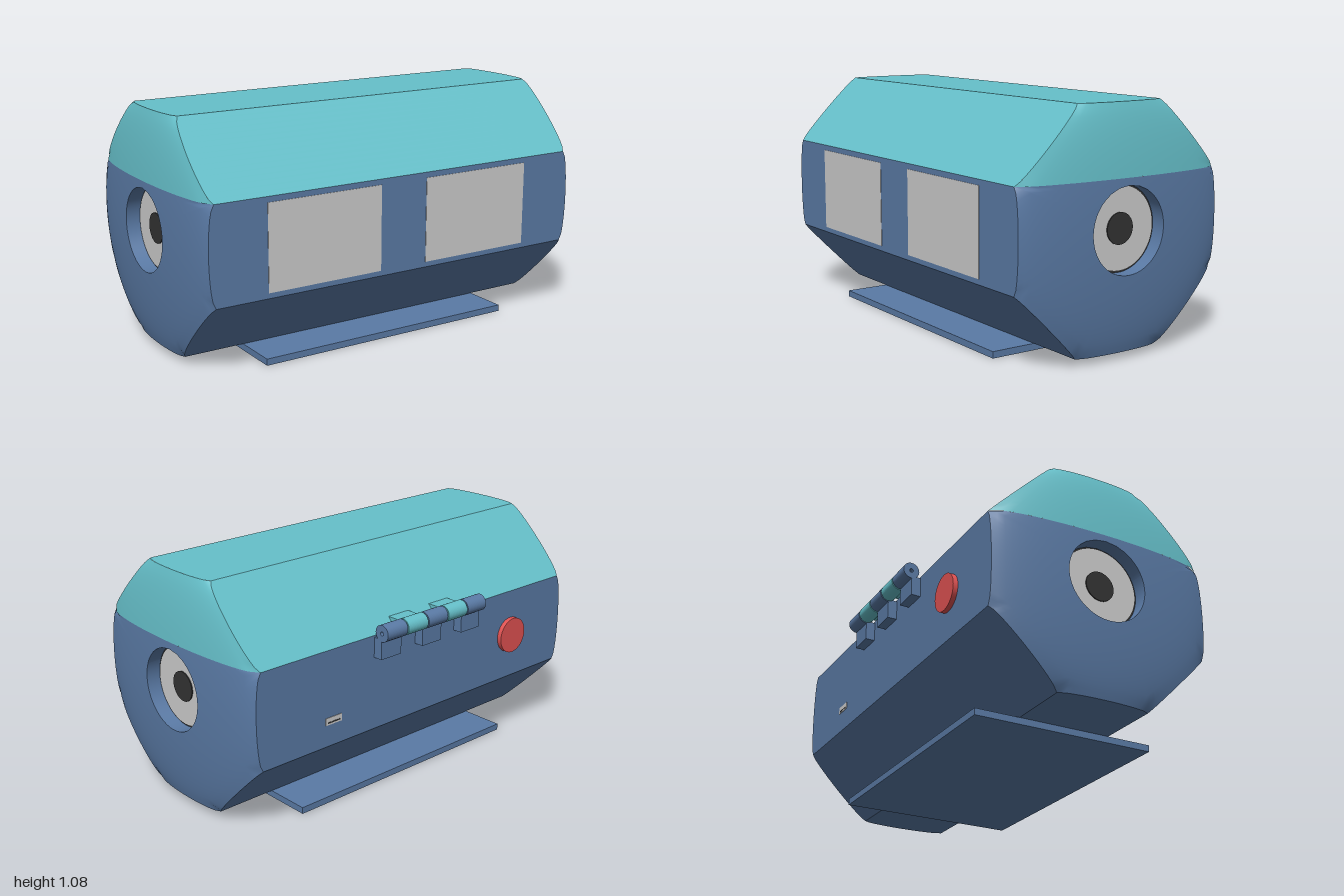
import * as THREE from 'three';

const A = 0.522, H = 0.217;        // octagon apothem and half side
const CY = 0.553, CZ = 0.043;      // octagon centre
const HOLE = 0.186, FLOOR = 0.925; // speaker recess radius and x of its floor

// x of the domed end at a distance r from the axis
const dome = (r) => 0.92 + 0.08 * Math.sqrt(Math.max(0, 1 - (r / 0.5655) ** 2));

// Octagon corners as [z, y], walking down the front and up the back
const corners = [[A, H], [A, -H], [H, -A], [-H, -A], [-A, -H], [-A, H], [-H, A], [H, A]];
const mix = (p, q, t) => [p[0] + (q[0] - p[0]) * t, p[1] + (q[1] - p[1]) * t];
const onAxis = (x, [z, y]) => [x, y + CY, z + CZ];

// Smooth grid surface from a rule fn(u, v) -> [x, y, z]
function surface(nu, nv, flip, fn) {
  const pos = [], idx = [];
  for (let j = 0; j <= nv; j++) for (let i = 0; i <= nu; i++) pos.push(...fn(i / nu, j / nv));
  for (let j = 0; j < nv; j++) for (let i = 0; i < nu; i++) {
    const a = j * (nu + 1) + i, b = a + 1, c = a + nu + 1, d = c + 1;
    if (flip) idx.push(a, d, b, a, c, d);
    else idx.push(a, b, d, a, d, c);
  }
  const g = new THREE.BufferGeometry();
  g.setAttribute('position', new THREE.Float32BufferAttribute(pos, 3));
  g.setIndex(idx);
  g.computeVertexNormals();
  return g;
}

export function createModel() {
  const group = new THREE.Group();
  const mat = (name, color) => {
    const m = new THREE.MeshStandardMaterial({ color });
    m.name = name;
    return m;
  };
  const blue = mat('slateBlue', 0x5a7aa5);
  const teal = mat('teal', 0x66c0ca);
  const grey = mat('lightGrey', 0xcccccc);
  const dark = mat('charcoal', 0x333333);
  const red = mat('red', 0xe05252);

  const add = (name, geo, material, x = 0, y = 0, z = 0) => {
    const m = new THREE.Mesh(geo, material);
    m.name = name;
    m.position.set(x, y, z);
    group.add(m);
    return m;
  };
  const box = (name, material, x0, x1, y0, y1, z0, z1) =>
    add(name, new THREE.BoxGeometry(x1 - x0, y1 - y0, z1 - z0), material,
      (x0 + x1) / 2, (y0 + y1) / 2, (z0 + z1) / 2);

  // Eight long faces whose ends follow the dome; the upper three form the lid
  corners.forEach((p, i) => {
    const q = corners[(i + 1) % 8], lid = i >= 5;
    add(lid ? 'lidFace' : 'bodyFace', surface(16, 1, false, (u, v) => {
      const c = mix(p, q, u);
      return onAxis((v * 2 - 1) * dome(Math.hypot(...c)), c);
    }), lid ? teal : blue);
  });

  // Outline of the lower body, walked at even steps per edge
  const outline = (u) => {
    const t = Math.min(u * 6, 5.999999), i = Math.floor(t);
    return mix(corners[i], corners[(i + 1) % 6], t - i);
  };
  const rim = (u) => {
    const c = outline(u), k = HOLE / Math.hypot(...c);
    return [c[0] * k, c[1] * k];
  };

  for (const s of [-1, 1]) {
    // Domed ends: body with a round opening, lid above
    add('bodyEnd', surface(96, 12, s > 0, (u, v) => {
      const c = mix(rim(u), outline(u), v);
      return onAxis(s * dome(Math.hypot(...c)), c);
    }), blue);
    add('lidEnd', surface(24, 12, s > 0, (u, v) => {
      const c = mix(mix(corners[5], corners[0], u), mix(corners[6], corners[7], u), v);
      return onAxis(s * dome(Math.hypot(...c)), c);
    }), teal);

    // Recessed speaker
    add('speakerRecess', surface(96, 1, s < 0, (u, v) =>
      onAxis(s * (dome(HOLE) + (FLOOR - dome(HOLE)) * v), rim(u))), blue);
    const disc = (name, r, x, material) => {
      const g = new THREE.CylinderGeometry(r, r, 0.008, 48).rotateZ(Math.PI / 2);
      add(name, g, material, s * x, CY, CZ);
    };
    disc('speakerSurround', 0.188, FLOOR, dark);
    disc('speakerCone', 0.179, FLOOR + 0.005, grey);
    disc('speakerCap', 0.068, FLOOR + 0.01, dark);

    // Front panels
    box('frontPanel', grey, s * 0.4 - 0.28, s * 0.4 + 0.28, 0.36, 0.745, 0.56, 0.567);
  }

  // Base plate
  box('basePlate', blue, -0.64, 0.64, 0, 0.03, -0.385, 0.47);

  // Round button and small port on the back
  add('button', new THREE.CylinderGeometry(0.085, 0.085, 0.025, 48).rotateX(Math.PI / 2),
    red, -0.582, 0.552, -0.4885);
  box('port', grey, 0.495, 0.585, 0.435, 0.468, -0.4815, -0.475);
  box('portSlot', dark, 0.505, 0.575, 0.442, 0.448, -0.4825, -0.475);

  // Hinge: five hollow knuckles with alternating body and lid leaves
  const ring = new THREE.Shape().absarc(0, 0, 0.038, 0, Math.PI * 2);
  ring.holes.push(new THREE.Path().absarc(0, 0, 0.009, 0, Math.PI * 2, true));
  const leaf = new THREE.Shape([[0.437, 0.815], [0.525, 0.815], [0.525, 0.776], [0.477, 0.772]]
    .map(([x, y]) => new THREE.Vector2(x, y)));
  const W = 0.118;
  const alongX = (shape) => new THREE.ExtrudeGeometry(shape,
    { depth: W, bevelEnabled: false, curveSegments: 24 }).rotateY(Math.PI / 2);
  for (let i = 0; i < 5; i++) {
    const x = (i - 2) * 0.124 - W / 2, onLid = i % 2 === 1;
    add('hingeKnuckle', alongX(ring), onLid ? teal : blue, x, 0.79, -0.525);
    if (onLid) add('lidHingeLeaf', alongX(leaf), teal, x, 0, 0);
    else box('bodyHingeLeaf', blue, x, x + W, 0.67, 0.762, -0.523, -0.478);
  }
  return group;
}
